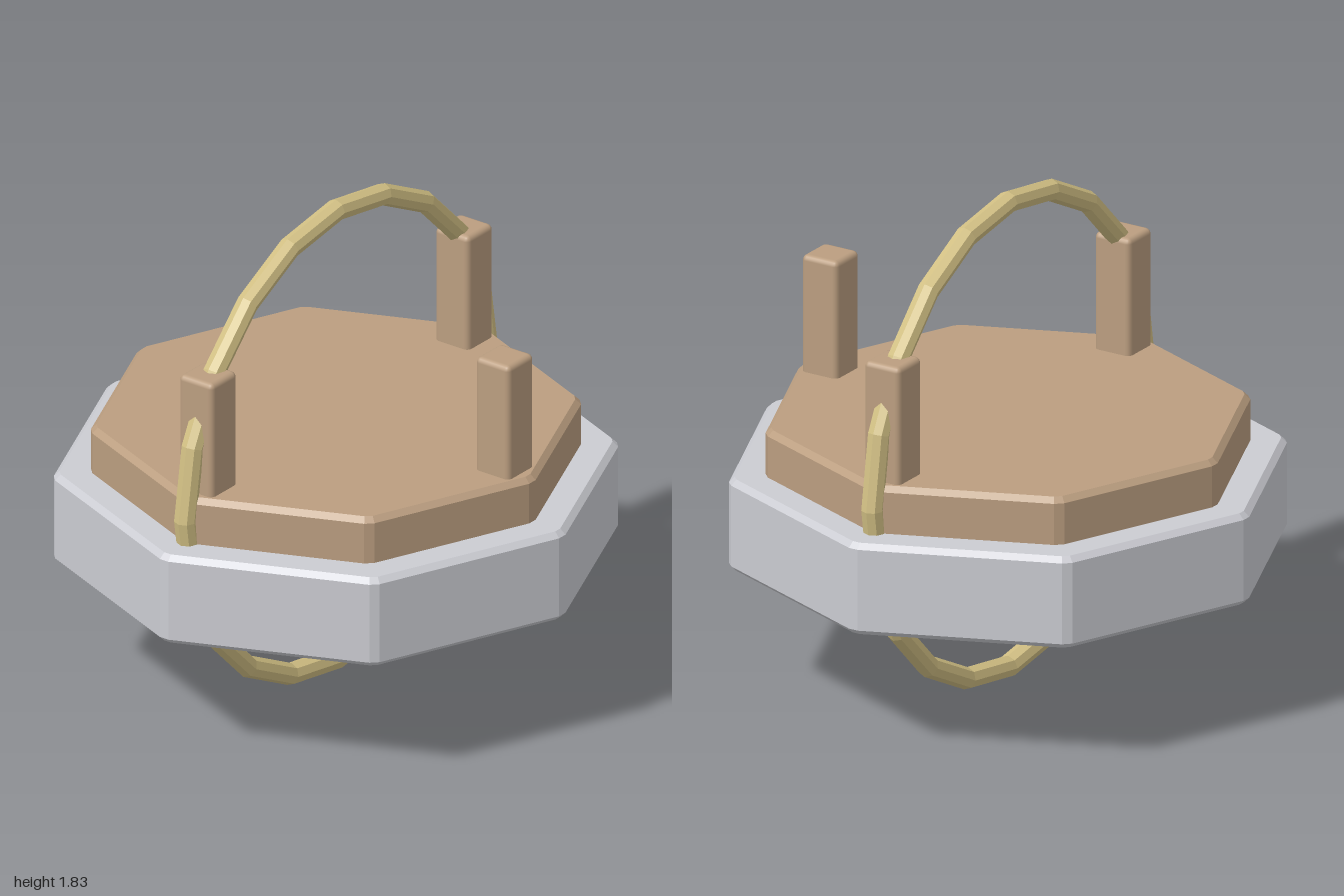
import * as THREE from 'three';
import { RoundedBoxGeometry } from 'three/addons/geometries/RoundedBoxGeometry.js';

const mat = (name, color) => new THREE.MeshStandardMaterial({ name, color });

// Octagonal slab with slightly cut corners and bevelled rims; radius is the outer reach
function octagonSlab(radius, bottom, top, bevel) {
  const cut = 0.02;
  const r = radius + cut * Math.sin(Math.PI / 8);
  const corner = (i) => new THREE.Vector2(Math.cos(i * Math.PI / 4), Math.sin(i * Math.PI / 4)).multiplyScalar(r);
  const points = [];
  for (let i = 0; i < 8; i++) {
    const c = corner(i);
    for (const j of [i - 1, i + 1]) {
      points.push(c.clone().add(corner(j).sub(c).setLength(cut)));
    }
  }
  const geo = new THREE.ExtrudeGeometry(new THREE.Shape(points), {
    depth: top - bottom - 2 * bevel,
    bevelThickness: bevel, bevelSize: bevel, bevelOffset: -bevel, bevelSegments: 1,
  });
  return geo.rotateX(-Math.PI / 2).translate(0, bottom + bevel, 0);
}

export function createModel() {
  const model = new THREE.Group();
  model.name = 'peggedPlatform';
  const stone = mat('paleGrey', 0xcbccd2);
  const wood = mat('tanWood', 0xbb9e80);
  const brass = mat('paleBrass', 0xd2c084);
  brass.flatShading = true;

  const add = (name, geometry, material, x = 0, y = 0, z = 0) => {
    const mesh = new THREE.Mesh(geometry, material);
    mesh.name = name;
    mesh.position.set(x, y, z);
    model.add(mesh);
  };

  // Stacked octagonal body
  add('base', octagonSlab(1, 0.49, 0.835, 0.02), stone);
  add('deck', octagonSlab(0.868, 0.8, 1.01, 0.02), wood);

  // Three upright pegs: left, right and front
  const pegs = { leftPeg: [0.745, 0], rightPeg: [-0.745, 0], frontPeg: [0, 0.745] };
  for (const [name, [x, z]] of Object.entries(pegs)) {
    add(name, new RoundedBoxGeometry(0.15, 0.49, 0.15, 2, 0.02), wood, x, 1.205, z);
  }

  // Upright hoop passing through the body
  add('hoop', new THREE.TorusGeometry(0.877, 0.04, 8, 20), brass, 0, 0.922, 0);

  return model;
}
